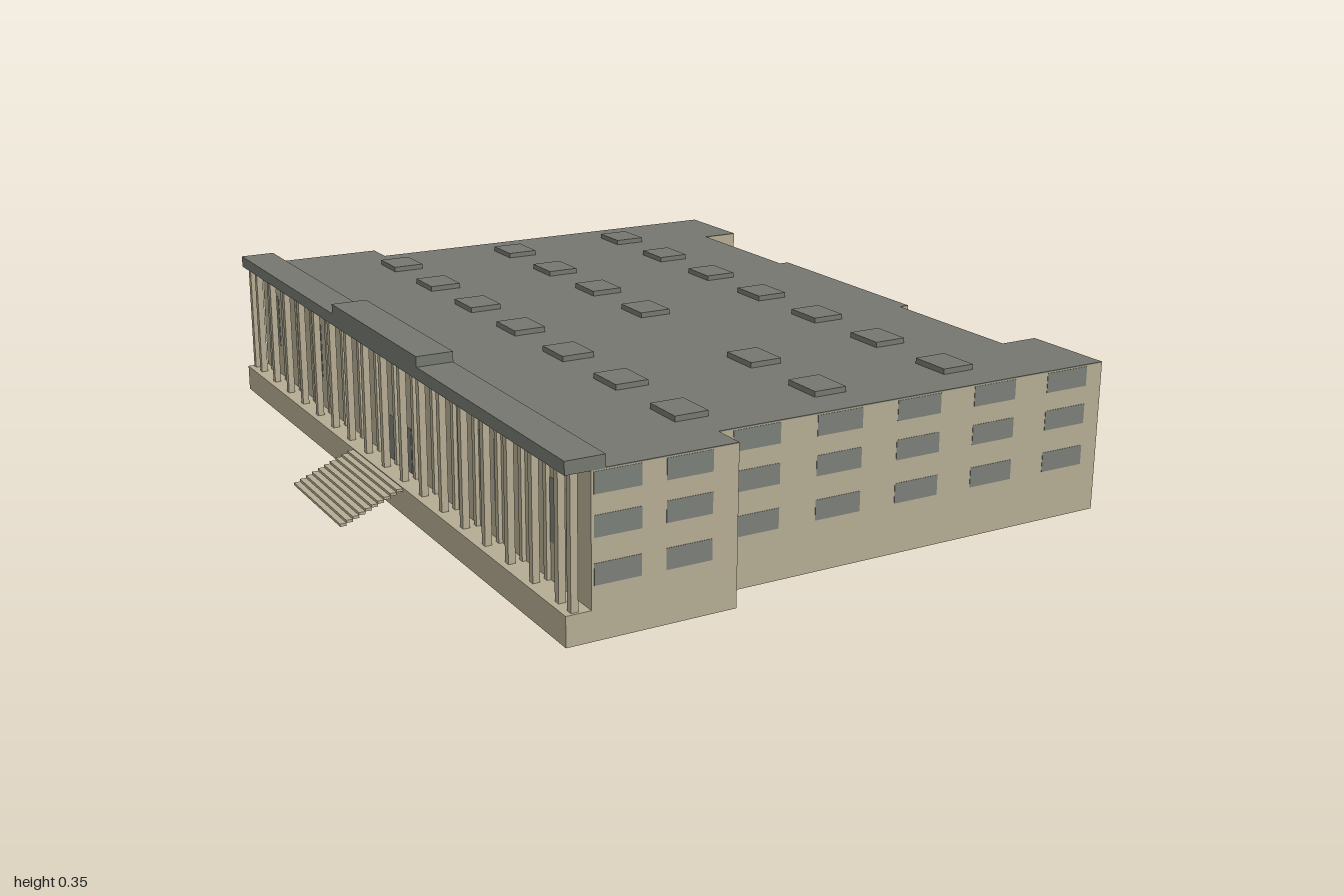
import * as THREE from 'three';

const FLOOR = 0.058;     // porch floor level
const WALL_TOP = 0.307;
const HALF = 0.843;      // half width of the front block
const SIDE = 0.775;      // half width of the main block
const FRONT = 0.585;     // front edge of plinth and eaves
const FACADE = 0.536;    // recessed front wall
const BACK = -0.643;     // rear wings
const RECESS = -0.558;   // rear wall between wings
const CENTRE = -0.58;    // projecting rear centre

const stone = new THREE.MeshStandardMaterial({ color: 0xb4ab92, side: THREE.DoubleSide });
stone.name = 'stone';
const roofGrey = new THREE.MeshStandardMaterial({ color: 0x74766f });
roofGrey.name = 'roofGrey';
const glass = new THREE.MeshStandardMaterial({ color: 0x7a7e77 });
glass.name = 'glass';

function add(parent, name, geo, mat) {
  const m = new THREE.Mesh(geo, mat);
  m.name = name;
  parent.add(m);
  return m;
}

function box(parent, name, mat, w, h, d, x, y, z) {
  add(parent, name, new THREE.BoxGeometry(w, h, d), mat).position.set(x, y, z);
}

// Stepped outline of the building, mirrored left and right
function outline(frontZ) {
  const right = [
    [0.236, CENTRE], [0.236, RECESS], [0.578, RECESS], [0.578, BACK],
    [SIDE, BACK], [SIDE, 0.247], [HALF, 0.247], [HALF, frontZ],
  ];
  return [...right, ...right.map(([x, z]) => [-x, z]).reverse()];
}

// Outline extruded between two heights
function planSlab(frontZ, y0, y1) {
  const shape = new THREE.Shape(outline(frontZ).map(([x, z]) => new THREE.Vector2(x, -z)));
  const geo = new THREE.ExtrudeGeometry(shape, { depth: y1 - y0, bevelEnabled: false });
  geo.rotateX(-Math.PI / 2);
  geo.translate(0, y0, 0);
  return geo;
}

// Open band of wall around the outline, without floor or lid
function skirt(frontZ, y0, y1) {
  const pts = outline(frontZ);
  const pos = [];
  pts.forEach(([ax, az], i) => {
    const [bx, bz] = pts[(i + 1) % pts.length];
    pos.push(ax, y0, az, ax, y1, az, bx, y1, bz, ax, y0, az, bx, y1, bz, bx, y0, bz);
  });
  const geo = new THREE.BufferGeometry();
  geo.setAttribute('position', new THREE.Float32BufferAttribute(pos, 3));
  geo.computeVertexNormals();
  return geo;
}

export function createModel() {
  const model = new THREE.Group();
  model.name = 'building';
  const b = new THREE.Group();
  b.name = 'pavilionBuilding';
  b.rotation.y = -THREE.MathUtils.degToRad(27.4);
  b.position.set(0.016, 0, 0.007);
  model.add(b);

  // Hollow plinth, raised floor, walls and flat roof
  add(b, 'plinth', skirt(FRONT, 0, FLOOR - 0.003), stone);
  add(b, 'floor', planSlab(FRONT, FLOOR - 0.003, FLOOR), stone);
  add(b, 'walls', planSlab(FACADE, FLOOR, WALL_TOP), stone);
  add(b, 'roof', planSlab(0.51, WALL_TOP, 0.309), roofGrey);

  // Eaves over the portico and the raised centre
  const eavesDepth = FRONT - 0.508, eavesZ = (FRONT + 0.508) / 2;
  box(b, 'eaves', roofGrey, HALF * 2, 0.025, eavesDepth, 0, 0.3195, eavesZ);
  box(b, 'raisedParapet', roofGrey, 0.456, 0.021, eavesDepth, 0, 0.3425, eavesZ);

  // Portico columns with slim pilasters on the wall behind, and corner posts
  const columns = new THREE.Group();
  columns.name = 'columns';
  b.add(columns);
  for (let i = 0; i < 17; i++) {
    const x = (i - 8) * 0.0981;
    box(columns, 'column', stone, 0.014, 0.249, 0.014, x, 0.1825, 0.565);
    box(columns, 'pilaster', stone, 0.012, 0.249, 0.008, x, 0.1825, FACADE + 0.004);
  }
  for (const s of [1, -1]) {
    box(columns, 'cornerColumn', stone, 0.014, 0.249, 0.014, s * 0.83, 0.1825, 0.565);
  }

  // Entrance stair of open treads
  const stair = new THREE.Group();
  stair.name = 'stair';
  b.add(stair);
  const STEPS = 10, run = 0.134 / STEPS, rise = 0.056 / STEPS;
  for (let i = 0; i < STEPS; i++) {
    const top = 0.056 - i * rise;
    box(stair, 'step', stone, 0.272, rise, run, 0, top - rise / 2, FRONT + run * (i + 0.5));
  }

  // Roof lights: three rows of seven, one place left empty
  const lights = new THREE.Group();
  lights.name = 'roofLights';
  b.add(lights);
  [-0.349, -0.048, 0.253].forEach((z, row) => {
    for (let i = 0; i < 7; i++) {
      if (row === 1 && i === 4) continue;
      box(lights, 'roofLight', roofGrey, 0.088, 0.012, 0.07, -0.65 + i * 0.2167, 0.314, z);
    }
  });

  // Windows as thin plates, three storeys on sides and back
  const windows = new THREE.Group();
  windows.name = 'windows';
  b.add(windows);
  const T = 0.0016;
  for (const y of [0.122, 0.208, 0.285]) {
    for (const s of [1, -1]) {
      for (let i = 0; i < 5; i++) {
        box(windows, 'sideWindow', glass, T, 0.04, 0.1, s * SIDE, y, 0.166 - i * 0.18);
      }
      for (const z of [0.485, 0.345]) {
        box(windows, 'pavilionWindow', glass, T, 0.04, 0.092, s * HALF, y, z);
      }
      for (const x of [0.635, 0.722]) {
        box(windows, 'wingWindow', glass, 0.062, 0.04, T, s * x, y, BACK);
      }
      for (const x of [0.057, 0.17]) {
        box(windows, 'centreBackWindow', glass, 0.078, 0.04, T, s * x, y, CENTRE);
      }
    }
    for (const x of [0.535, 0.452, 0.367, -0.285, -0.392, -0.5]) {
      box(windows, 'backWindow', glass, x > 0 ? 0.062 : 0.072, 0.04, T, x, y, RECESS);
    }
    box(windows, 'narrowBackWindow', glass, 0.018, 0.036, T, 0.295, y, RECESS);
  }

  // Facade panes in pairs, and the entrance door
  for (let i = 0; i < 6; i++) {
    for (const dx of [-0.02, 0.042]) {
      box(windows, 'facadePane', glass, 0.022, 0.12, T, (i - 2.5) * 0.289 + dx, 0.19, FACADE);
    }
  }
  box(b, 'door', glass, 0.14, 0.095, T, 0, 0.1055, FACADE);

  return model;
}
